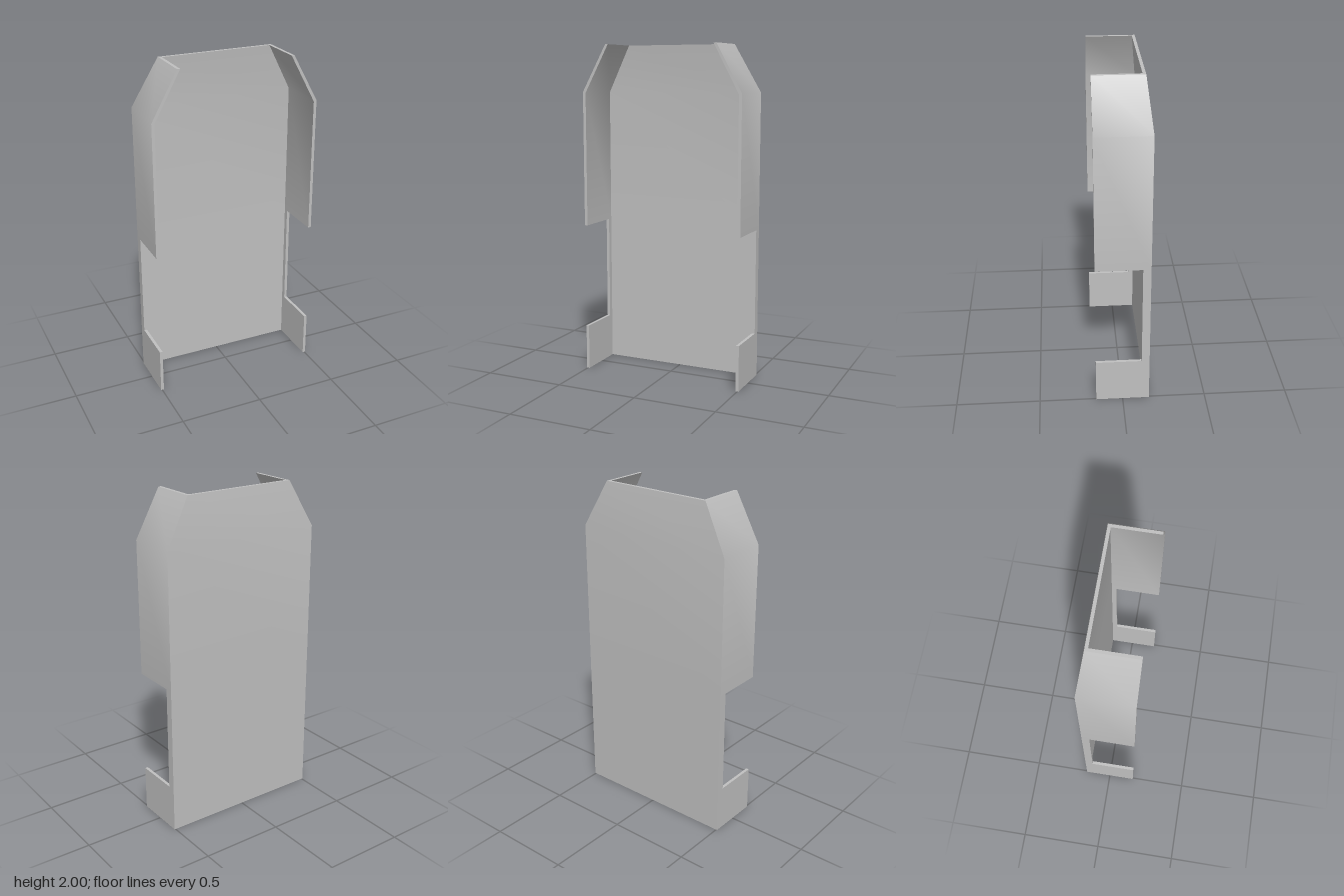
import * as THREE from 'three';
import { toCreasedNormals } from 'three/addons/utils/BufferGeometryUtils.js';

// U-shaped cross-section, walked around its outline: outer wall, back, outer wall, then the inside
function section({ y, yi = y, xo = 0.507, xi = 0.489, zf = 0.16, zo = -0.16, zi = -0.142 }) {
  return [
    [-xo, y, zf], [-xo, y, zo], [xo, y, zo], [xo, y, zf],
    [xi, yi, zf], [xi, yi, zi], [-xi, yi, zi], [-xi, yi, zf],
  ];
}

export function createModel() {
  const grey = new THREE.MeshStandardMaterial({ color: 0xc0c0c0 });
  grey.name = 'metalGrey';

  // Sections from the floor up; repeated heights form the ledges of the side notches
  const notch = -0.113;
  const levels = [
    { y: 0 },
    { y: 0.275 },
    { y: 0.275, zf: notch },
    { y: 0.91, zf: notch },
    { y: 0.91 },
    { y: 1.72, yi: 1.715 },
    { y: 2, xo: 0.352, xi: 0.334, zo: -0.128, zi: -0.11 },
  ];
  const rings = levels.map(section);

  const positions = [];
  const quad = (a, b, c, d) => positions.push(...a, ...b, ...c, ...a, ...c, ...d);

  // Skin between neighbouring sections; ledges only need the front edges
  for (let k = 0; k < rings.length - 1; k++) {
    const low = rings[k], high = rings[k + 1];
    const isLedge = levels[k].y === levels[k + 1].y;
    for (let i = 0; i < 8; i++) {
      if (isLedge && i !== 3 && i !== 7) continue;
      const j = (i + 1) % 8;
      quad(low[i], high[i], high[j], low[j]);
    }
  }

  // Bottom and top rims
  const bottom = rings[0], top = rings[rings.length - 1];
  for (const [a, b, c, d] of [[0, 1, 6, 7], [1, 2, 5, 6], [2, 3, 4, 5]]) {
    quad(bottom[a], bottom[b], bottom[c], bottom[d]);
    quad(top[d], top[c], top[b], top[a]);
  }

  const geometry = new THREE.BufferGeometry();
  geometry.setAttribute('position', new THREE.Float32BufferAttribute(positions, 3));

  // Folded sheet cover: soft at the upper bend, sharp at the corners
  const cover = new THREE.Mesh(toCreasedNormals(geometry, 0.6), grey);
  cover.name = 'foldedSheetCover';

  const model = new THREE.Group();
  model.name = 'sheetMetalCover';
  model.add(cover);
  return model;
}
